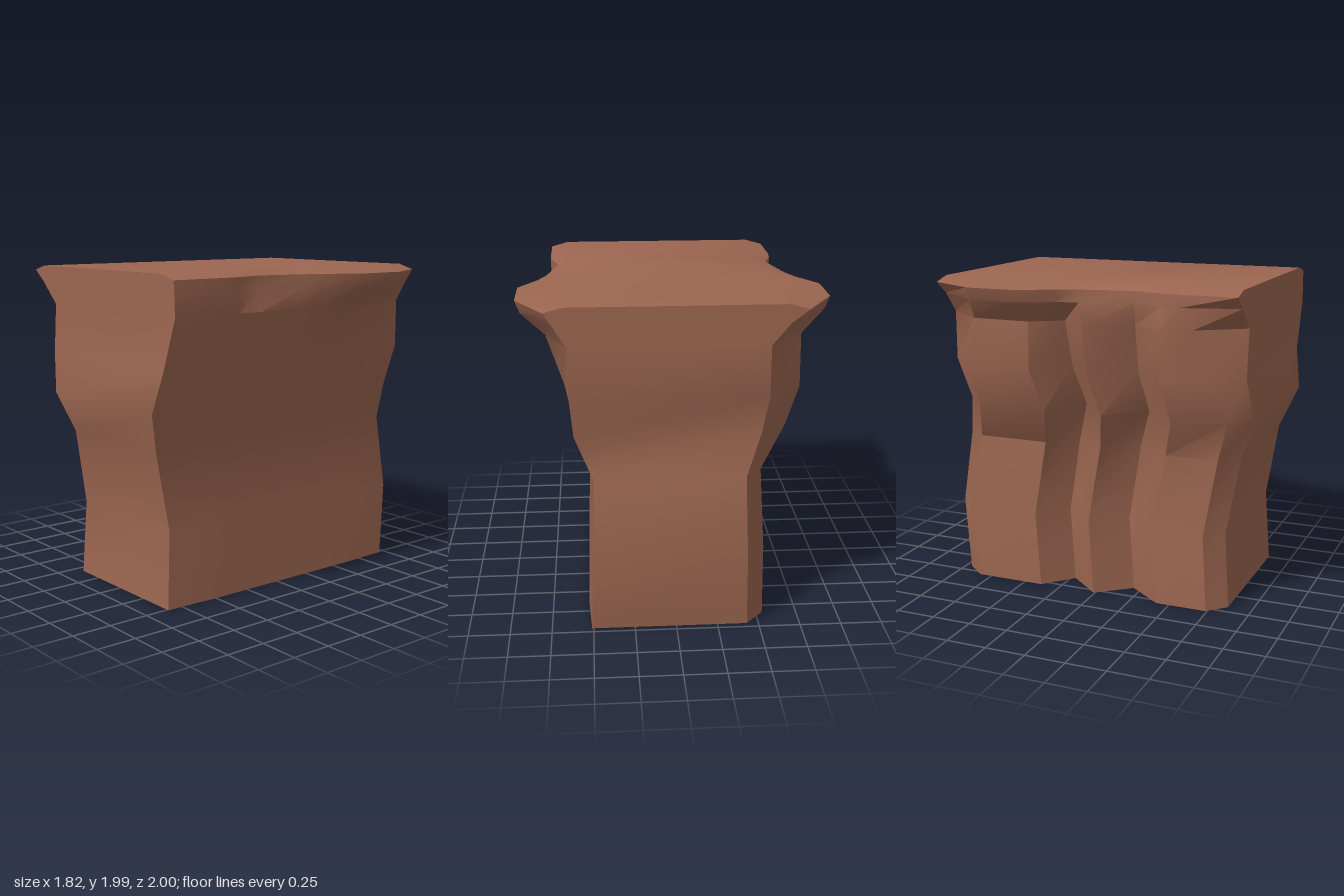
import * as THREE from 'three';
import { toCreasedNormals } from 'three/addons/utils/BufferGeometryUtils.js';

// Heights of the cross-sections, with the z of the front and back face at each
const heights = [0, 0.47, 0.95, 1.2, 1.45, 1.75, 1.88, 1.955];
const front = [0.85, 0.82, 0.9, 1.0, 0.96, 0.96, 0.96, 0.96];
const back = [-0.96, -1.0, -0.93, -0.87, -0.95, -0.95, -0.95, -0.95];

// Position of the nine columns from front (0) to back (1), at the foot and at the rim
const footColumns = [0, 0.06, 0.24, 0.36, 0.475, 0.59, 0.68, 0.93, 1];
const rimColumns = [0, 0.18, 0.24, 0.335, 0.5, 0.57, 0.67, 0.84, 1];
const rimBlend = [0, 0, 0, 0.1, 0.3, 0.7, 1, 1];

// The rim outline is the same on both sides
const rim = [0.74, 0.74, 0.73, 0.68, 0.75, 0.8, 0.91, 0.91, 0.74];

// Plain wall section: front corner, middle, back corner
const plain = (f, m, b) => rim.map((_, i) => (i === 0 ? f : i === 8 ? b : m));

// Smooth side (+x), half-widths per height
const smoothSide = [
  plain(0.51, 0.525, 0.51),
  plain(0.49, 0.51, 0.495),
  plain(0.475, 0.49, 0.48),
  plain(0.58, 0.59, 0.59),
  plain(0.64, 0.64, 0.61),
  [0.75, 0.74, 0.74, 0.73, 0.75, 0.74, 0.75, 0.74, 0.61],
  [0.745, 0.74, 0.73, 0.69, 0.75, 0.79, 0.89, 0.88, 0.69],
  rim,
];

// Grooved side (-x), half-widths per height
const groovedSide = [
  [0.43, 0.54, 0.54, 0.37, 0.54, 0.36, 0.54, 0.54, 0.43],
  [0.42, 0.53, 0.53, 0.36, 0.53, 0.35, 0.53, 0.53, 0.42],
  [0.4, 0.51, 0.51, 0.36, 0.51, 0.35, 0.51, 0.51, 0.41],
  [0.46, 0.58, 0.68, 0.45, 0.67, 0.42, 0.67, 0.66, 0.5],
  [0.53, 0.66, 0.74, 0.52, 0.73, 0.5, 0.74, 0.73, 0.53],
  [0.5, 0.69, 0.75, 0.62, 0.75, 0.63, 0.75, 0.74, 0.53],
  [0.64, 0.74, 0.73, 0.68, 0.75, 0.78, 0.89, 0.88, 0.64],
  rim,
];

// One closed ring: +x side front to back, then -x side back to front
function makeRing(k) {
  const z = (c) => THREE.MathUtils.lerp(front[k], back[k], c);
  const right = smoothSide[k].map((x, i) => [x, heights[k], z(rimColumns[i])]);
  const left = groovedSide[k].map((x, i) => [
    -x, heights[k],
    z(THREE.MathUtils.lerp(footColumns[i], rimColumns[i], rimBlend[k])),
  ]);
  return [...right, ...left.reverse()];
}

function makeRockGeometry() {
  const rings = heights.map((_, k) => makeRing(k));

  // Slightly raised flat top, inset at the sides
  rings.push(rings[rings.length - 1].map(([x, , z]) => [Math.sign(x) * 0.63, 1.985, z]));

  const n = rings[0].length;
  const index = [];

  // Walls
  for (let k = 0; k < rings.length - 1; k++) {
    for (let i = 0; i < n; i++) {
      const a = k * n + i;
      const b = k * n + ((i + 1) % n);
      index.push(a, b, b + n, a, b + n, a + n);
    }
  }

  // Underside and top, as strips between opposite columns
  const last = (rings.length - 1) * n;
  for (let i = 0; i < n / 2 - 1; i++) {
    const p = i, q = i + 1, r = n - 2 - i, s = n - 1 - i;
    index.push(p, r, q, p, s, r);
    index.push(last + p, last + q, last + r, last + p, last + r, last + s);
  }

  const geometry = new THREE.BufferGeometry();
  geometry.setAttribute('position', new THREE.Float32BufferAttribute(rings.flat(2), 3));
  geometry.setIndex(index);
  return toCreasedNormals(geometry, 0.56);
}

export function createModel() {
  const group = new THREE.Group();
  group.name = 'rockLedge';
  const material = new THREE.MeshStandardMaterial({ color: 0x9c6650 });
  const rock = new THREE.Mesh(makeRockGeometry(), material);
  rock.name = 'rockBody';
  group.add(rock);
  return group;
}
